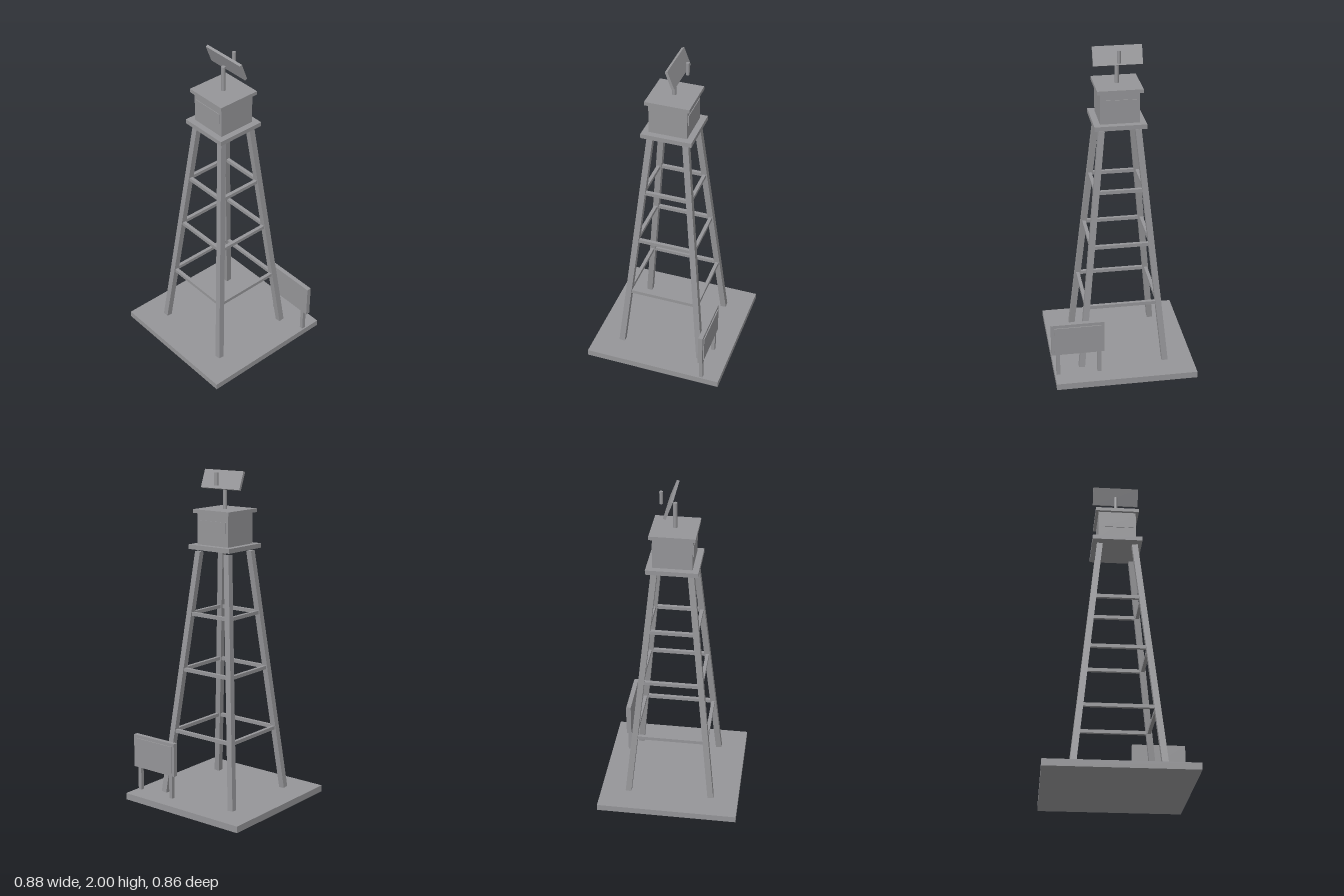
import * as THREE from 'three';

export function createModel() {
  const model = new THREE.Group();
  model.name = 'watchtower';
  const gray = new THREE.MeshStandardMaterial({ color: 0x959598 });
  gray.name = 'gray';

  const add = (parent, name, geometry, x, y, z) => {
    const mesh = new THREE.Mesh(geometry, gray);
    mesh.name = name;
    mesh.position.set(x, y, z);
    parent.add(mesh);
    return mesh;
  };
  const box = (parent, name, w, h, d, x, y, z) =>
    add(parent, name, new THREE.BoxGeometry(w, h, d), x, y, z);

  // Tower stands slightly off centre because the sign overhangs the base
  const tower = new THREE.Group();
  tower.name = 'tower';
  tower.position.x = -0.011;
  model.add(tower);

  box(tower, 'base', 0.86, 0.04, 0.86, 0, 0.02, 0);

  // Four legs leaning inward
  const footY = 0.042, headY = 1.526, footR = 0.258, headR = 0.107;
  const up = new THREE.Vector3(0, 1, 0);
  for (const sx of [-1, 1]) {
    for (const sz of [-1, 1]) {
      const foot = new THREE.Vector3(sx * footR, footY, sz * footR);
      const head = new THREE.Vector3(sx * headR, headY, sz * headR);
      const span = head.clone().sub(foot);
      const mid = foot.clone().add(head).multiplyScalar(0.5);
      const leg = box(tower, 'leg', 0.036, span.length(), 0.036, mid.x, mid.y, mid.z);
      leg.quaternion.setFromUnitVectors(up, span.normalize());
    }
  }

  // Three rings of cross bars between the legs
  for (const y of [0.433, 0.815, 1.155]) {
    const r = THREE.MathUtils.mapLinear(y, footY, headY, footR, headR);
    for (const s of [-1, 1]) {
      box(tower, 'crossBar', 2 * r, 0.021, 0.021, 0, y, s * r);
      box(tower, 'crossBar', 0.021, 0.021, 2 * r, s * r, y, 0);
    }
  }

  // Lookout cabin
  box(tower, 'platform', 0.304, 0.027, 0.304, 0, 1.555, 0);
  box(tower, 'cabin', 0.23, 0.19, 0.23, 0, 1.662, 0);
  box(tower, 'roof', 0.266, 0.022, 0.266, 0, 1.764, 0);
  for (const s of [-1, 1]) {
    box(tower, 'window', 0.2, 0.064, 0.008, 0, 1.68, s * 0.115);
  }

  // Mast with tilted panel and receiver
  add(tower, 'mast', new THREE.CylinderGeometry(0.012, 0.012, 0.154, 20), 0, 1.85, 0.001);
  const panel = box(tower, 'panel', 0.285, 0.112, 0.016, 0, 1.945, -0.021);
  panel.rotation.x = 0.365;
  add(tower, 'receiver', new THREE.CylinderGeometry(0.0105, 0.0105, 0.074, 20), 0, 1.954, -0.078);

  // Sign at the back corner
  const sign = new THREE.Group();
  sign.name = 'sign';
  model.add(sign);
  box(sign, 'signBoard', 0.322, 0.206, 0.028, 0.276, 0.287, -0.318);
  box(sign, 'signFace', 0.285, 0.167, 0.007, 0.276, 0.287, -0.3345);
  for (const x of [0.147, 0.398]) {
    box(sign, 'signPost', 0.023, 0.16, 0.023, x, 0.115, -0.316);
  }

  return model;
}
